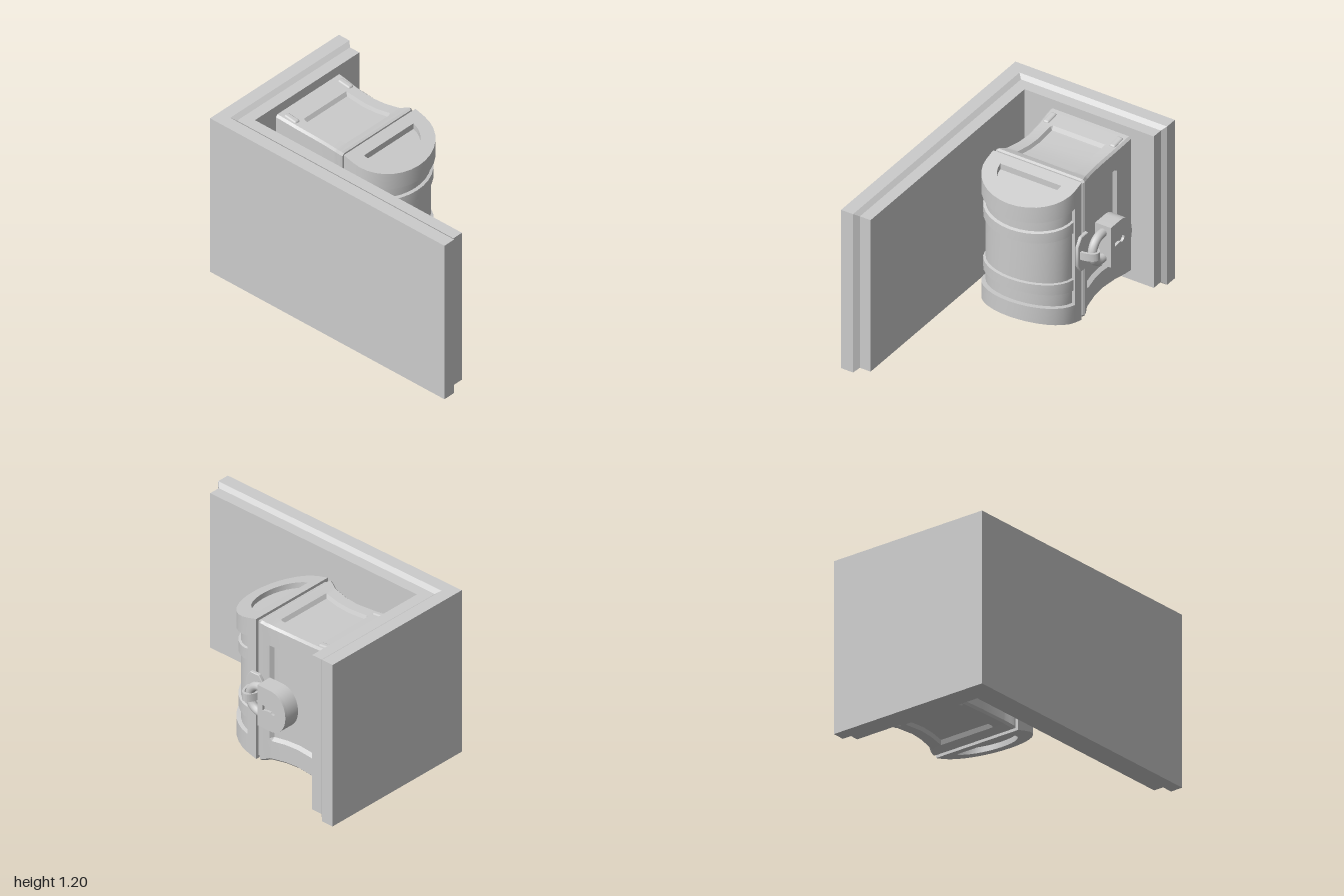
import * as THREE from 'three';
import { toCreasedNormals } from 'three/addons/utils/BufferGeometryUtils.js';
import { RoundedBoxGeometry } from 'three/addons/geometries/RoundedBoxGeometry.js';

const CX = 0.097, CY = 0.597; // centre of the chest
const mat = new THREE.MeshStandardMaterial({ color: 0xcccccc });

function add(parent, name, geo, x = 0, y = 0, z = 0) {
  const mesh = new THREE.Mesh(geo, mat);
  mesh.name = name;
  mesh.position.set(x, y, z);
  parent.add(mesh);
  return mesh;
}

// Skins equal-length rings and closes both ends; rings run anticlockwise seen from ahead
function loft(rings, crease = 0.5) {
  const n = rings[0].length, pos = rings.flat(2), idx = [];
  for (let r = 0; r < rings.length - 1; r++) {
    for (let i = 0; i < n; i++) {
      const a = r * n + i, b = r * n + (i + 1) % n;
      idx.push(a, b, b + n, a, b + n, a + n);
    }
  }
  [0, rings.length - 1].forEach((r, end) => {
    const c = pos.length / 3;
    for (let k = 0; k < 3; k++) pos.push(rings[r].reduce((s, p) => s + p[k], 0) / n);
    for (let i = 0; i < n; i++) {
      const a = r * n + i, b = r * n + (i + 1) % n;
      idx.push(c, end ? a : b, end ? b : a);
    }
  });
  const geo = new THREE.BufferGeometry();
  geo.setAttribute('position', new THREE.Float32BufferAttribute(pos, 3));
  geo.setIndex(idx);
  return toCreasedNormals(geo, crease);
}

// Two mitred walls, each stepping in through a chamfer
function buildWalls(group) {
  const steps = [[0, 0], [0.09, 0], [0.12, 0.028], [0.2, 0.028]];
  const edges = {
    sideWall: (d, i) => [[-0.6 + d, 1 - i * 1.2], [-0.6 + d, -1 + d]],
    backWall: (d, i) => [[-0.6 + d, -1 + d], [0.6 - i, -1 + d]],
  };
  for (const [name, edge] of Object.entries(edges)) {
    add(group, name, loft(steps.map(([d, i]) => {
      const [a, b] = edge(d, i), lo = i, hi = 1.2 - i * 0.85;
      return [[a[0], lo, a[1]], [b[0], lo, b[1]], [b[0], hi, b[1]], [a[0], hi, a[1]]];
    }), 0.1));
  }
}

// Waisted chest body with a sunken panel on all four sides
function bodyGeometry() {
  const bevel = 0.015, depth = 0.025;
  const sections = [ // z, half width, half height, sunken
    [-0.8, 0.303, 0.512, 0], [-0.75, 0.3, 0.507, 0], [-0.66, 0.292, 0.495, 0],
    [-0.645, 0.291, 0.493, 1], [-0.5, 0.285, 0.484, 1], [-0.4, 0.291, 0.487, 1],
    [-0.3, 0.307, 0.497, 1], [-0.285, 0.31, 0.499, 0], [-0.25, 0.326, 0.513, 0],
    [-0.225, 0.333, 0.52, 0], [-0.21, 0.325, 0.512, 0],
  ];
  return loft(sections.map(([z, hx, hy, sunk]) => {
    const ring = [];
    for (let side = 0; side < 4; side++) {
      const [out, along] = side % 2 ? [hy, hx] : [hx, hy];
      for (const s of [-1, -0.73, -0.69, 0.69, 0.73, 1]) {
        const u = out - (Math.abs(s) < 0.7 ? depth * sunk : 0), v = s * (along - bevel);
        const [x, y] = [[u, v], [-v, u], [-u, -v], [v, -u]][side];
        ring.push([CX + x, CY + y, z]);
      }
    }
    return ring;
  }));
}

// Barrel lid: sections along y, drawn together towards the front
function lidGeometry() {
  const base = -0.115, N = 16;
  const full = [0.333, -0.19, 0.333, 0.26], barrel = [0.333, -0.19, 0.308, 0.225];
  const strap = [0.333, -0.19, 0.322, 0.245], dish = [0.23, base, 0.23, 0.175];
  const half = [ // distance from the middle, section
    [0.475, dish], [0.52, dish], [0.52, full], [0.38, full], [0.374, barrel],
    [0.276, barrel], [0.27, strap], [0.184, strap], [0.178, barrel],
  ];
  const sections = [...half.map(([h, s]) => [-h, s]), ...half.slice().reverse()];
  return loft(sections.map(([h, [rim, back, a, b]]) => {
    const flat = [];
    for (let j = 0; j <= N; j++) {
      const t = Math.PI * (1 - j / N);
      flat.push([a * Math.cos(t), base + b * Math.sin(t)]);
    }
    flat.push([rim, base], [rim, back], [-rim, back], [-rim, base]);
    return flat.map(([x, z]) => [CX + x, CY + h * (1 - 0.18 * (z + 0.19) / 0.335), z]);
  }));
}

// Extrudes a shape drawn in (-z, y) sideways along +x
function sideExtrude(shape, depth, bevel = 0) {
  const geo = new THREE.ExtrudeGeometry(shape, {
    depth, bevelEnabled: bevel > 0, bevelSize: bevel, bevelThickness: bevel, bevelSegments: 1,
  });
  return toCreasedNormals(geo.rotateY(Math.PI / 2), 0.6);
}

function buildPadlock(group) {
  const lock = new THREE.Group();
  lock.name = 'padlock';
  group.add(lock);
  // Body: flat towards the shackle, rounded at the far end
  const outline = () => {
    const s = new THREE.Shape();
    s.moveTo(0, -0.15);
    s.lineTo(0.11, -0.15);
    s.bezierCurveTo(0.19, -0.15, 0.24, -0.08, 0.24, 0);
    s.bezierCurveTo(0.24, 0.08, 0.19, 0.15, 0.11, 0.15);
    s.lineTo(0, 0.15);
    return s;
  };
  add(lock, 'lockBody', sideExtrude(outline(), 0.1), 0.445, CY, -0.322);
  const face = outline(), hole = new THREE.Path();
  hole.moveTo(0.045, -0.02);
  hole.lineTo(0.085, -0.012);
  hole.absarc(0.13, 0, 0.024, -2.6, 2.6, false);
  hole.lineTo(0.085, 0.012);
  hole.lineTo(0.045, 0.02);
  face.holes.push(hole);
  add(lock, 'lockFace', sideExtrude(face, 0.018), 0.545, CY, -0.322);

  // Shackle: half ring with straight legs
  const points = [[-0.36, -1], [-0.32, -1]];
  for (let i = 0; i <= 10; i++) {
    const t = -Math.PI / 2 + Math.PI * i / 10;
    points.push([-0.295 + 0.092 * Math.cos(t), Math.sin(t)]);
  }
  points.push([-0.32, 1], [-0.36, 1]);
  const path = new THREE.CatmullRomCurve3(
    points.map(([z, s]) => new THREE.Vector3(0.502, CY + 0.095 * s, z)));
  add(lock, 'shackle', new THREE.TubeGeometry(path, 40, 0.03, 12));
}

function buildHasp(group) {
  // Eight-sided plate and the looped strap that holds the shackle
  const plate = new THREE.Shape([[-0.035, -0.125], [0.035, -0.125], [0.072, -0.07], [0.072, 0.07],
    [0.035, 0.125], [-0.035, 0.125], [-0.072, 0.07], [-0.072, -0.07]]
    .map(p => new THREE.Vector2(...p)));
  add(group, 'haspPlate', sideExtrude(plate, 0.02, 0.004), 0.427, CY, -0.195);
  const strap = new THREE.Shape();
  strap.absellipse(0, 0, 0.115, 0.06, -Math.PI / 2, Math.PI / 2, false);
  strap.lineTo(0, 0.042);
  strap.absellipse(0, 0, 0.097, 0.042, Math.PI / 2, -Math.PI / 2, true);
  const geo = new THREE.ExtrudeGeometry(strap, { depth: 0.056, bevelEnabled: false, curveSegments: 16 });
  geo.rotateX(-Math.PI / 2);
  add(group, 'haspLoop', toCreasedNormals(geo, 0.6), 0.44, CY - 0.028, -0.2);
}

export function createModel() {
  const model = new THREE.Group();
  model.name = 'chestInCorner';
  buildWalls(model);

  const chest = new THREE.Group();
  chest.name = 'chest';
  model.add(chest);
  add(chest, 'chestBody', bodyGeometry());
  add(chest, 'seam', new THREE.BoxGeometry(0.62, 1.0, 0.05), CX, CY, -0.2);
  add(chest, 'lid', lidGeometry());

  for (const s of [-1, 1]) {
    // Hinges
    const y = CY + s * 0.187;
    add(chest, 'hingePlate', new RoundedBoxGeometry(0.03, 0.23, 0.09, 2, 0.01), -0.238, y, -0.2);
    add(chest, 'hingePin', new THREE.CylinderGeometry(0.02, 0.02, 0.2, 12), -0.255, y, -0.2);
    // Small pads near the back corners
    for (const t of [-1, 1]) {
      const pad = add(chest, 'cornerPad', new RoundedBoxGeometry(0.045, 0.03, 0.105, 3, 0.014),
        CX + t * 0.25, CY + s * 0.498, -0.713);
      pad.rotation.x = s * 0.12;
    }
  }
  buildHasp(chest);
  buildPadlock(chest);
  return model;
}
